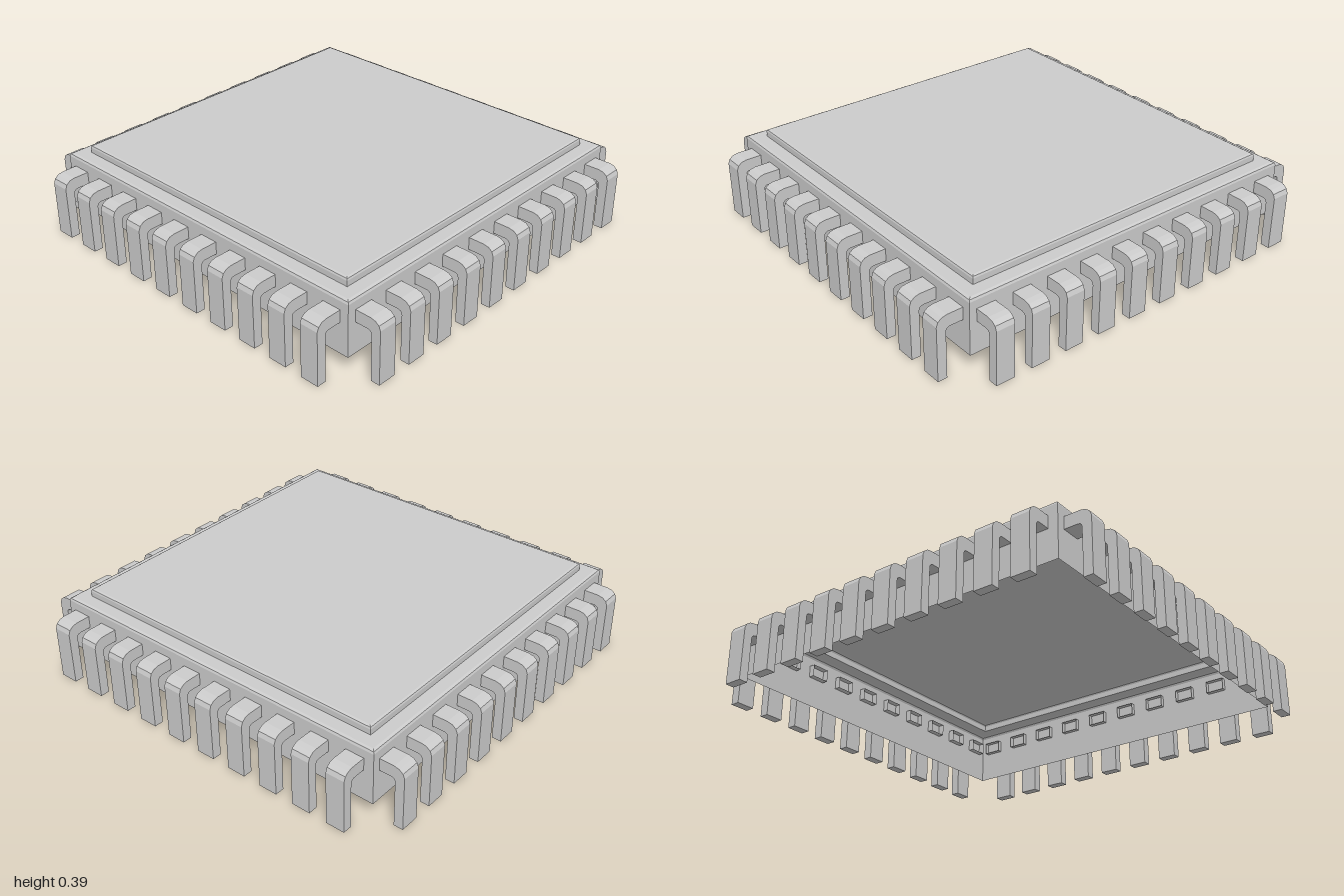
import * as THREE from 'three';

const material = new THREE.MeshStandardMaterial({ color: 0xcccccc, flatShading: true, side: THREE.DoubleSide });

function faceted(geometry) {
  const g = geometry.toNonIndexed();
  g.computeVertexNormals();
  return g;
}

// Square open-bottomed shell: rim, walls, bevel, ledge and raised lid
function shellGeometry() {
  const profile = [
    [0.877, 0.09], [0.877, 0.335], [0.873, 0.345], [0.862, 0.35],
    [0.805, 0.35], [0.805, 0.376], [0.802, 0.384], [0.793, 0.388], [0, 0.388],
  ].map(([half, y]) => new THREE.Vector2(half * Math.SQRT2, y));
  const g = new THREE.LatheGeometry(profile, 4);
  g.rotateY(Math.PI / 4);
  return faceted(g);
}

// Bent pin swept through rectangular sections, open at its inner end
function pinGeometry(halfWidth) {
  // each section: outer z, outer y, inner z, inner y
  const sections = [
    [0.85, 0.295, 0.85, 0.237],
    [0.95, 0.295, 0.938, 0.237],
    [0.974, 0.29, 0.948, 0.234],
    [0.992, 0.276, 0.954, 0.227],
    [1, 0.255, 0.956, 0.217],
    [1, 0, 0.956, 0],
  ];
  const positions = [], index = [];
  for (const [oz, oy, iz, iy] of sections) {
    positions.push(-halfWidth, oy, oz, halfWidth, oy, oz, halfWidth, iy, iz, -halfWidth, iy, iz);
  }
  for (let i = 0; i < sections.length - 1; i++) {
    for (let j = 0; j < 4; j++) {
      const a = i * 4 + j, b = i * 4 + (j + 1) % 4;
      index.push(a, a + 4, b + 4, a, b + 4, b);
    }
  }
  const e = (sections.length - 1) * 4; // foot cap
  index.push(e, e + 3, e + 2, e, e + 2, e + 1);
  const g = new THREE.BufferGeometry();
  g.setAttribute('position', new THREE.Float32BufferAttribute(positions, 3));
  g.setIndex(index);
  return faceted(g);
}

export function createModel() {
  const model = new THREE.Group();
  model.name = 'chipPackage';

  const shell = new THREE.Mesh(shellGeometry(), material);
  shell.name = 'packageBody';
  shell.position.set(-0.003, 0, -0.003);
  model.add(shell);

  // Ten pins on each of the four sides
  const pin = pinGeometry(0.045);
  const sides = [['front', -0.0035], ['left', 0.0035], ['back', -0.0035], ['right', -0.0075]];
  sides.forEach(([name, shift], k) => {
    const row = new THREE.Group();
    row.name = name + 'Pins';
    row.rotation.y = k * Math.PI / 2;
    for (let i = 0; i < 10; i++) {
      const mesh = new THREE.Mesh(pin, material);
      mesh.name = 'pin';
      mesh.position.x = shift + (i - 4.5) * 0.1758;
      row.add(mesh);
    }
    model.add(row);
  });
  return model;
}
